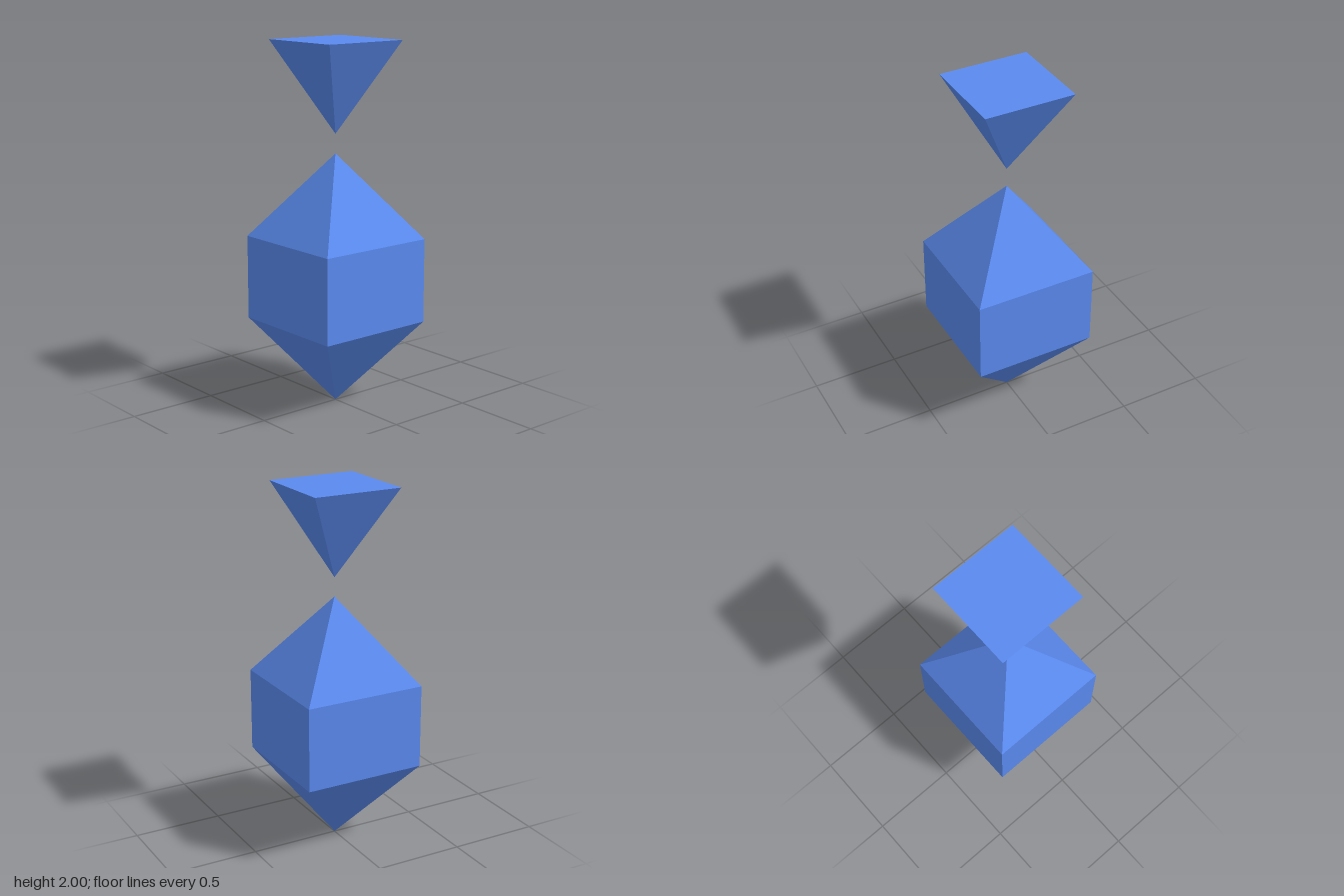
import * as THREE from 'three';

const material = new THREE.MeshStandardMaterial({ color: 0x5a8aee, flatShading: true });

// Square solid turned from [half width, height] pairs, listed bottom to top
function squareSolid(name, profile) {
  const points = profile.map(([half, y]) => new THREE.Vector2(half * Math.SQRT2, y));
  const geometry = new THREE.LatheGeometry(points, 4).rotateY(Math.PI / 4);
  const mesh = new THREE.Mesh(geometry, material);
  mesh.name = name;
  return mesh;
}

export function createModel() {
  const group = new THREE.Group();
  group.name = 'crystalMarker';

  // Lower crystal: square block with a pyramid at each end
  group.add(squareSolid('crystalBody', [[0, 0], [0.342, 0.466], [0.342, 0.931], [0, 1.394]]));

  // Floating inverted pyramid with a flat top
  group.add(squareSolid('floatingPyramid', [[0, 1.5], [0.25, 2], [0, 2]]));

  return group;
}
